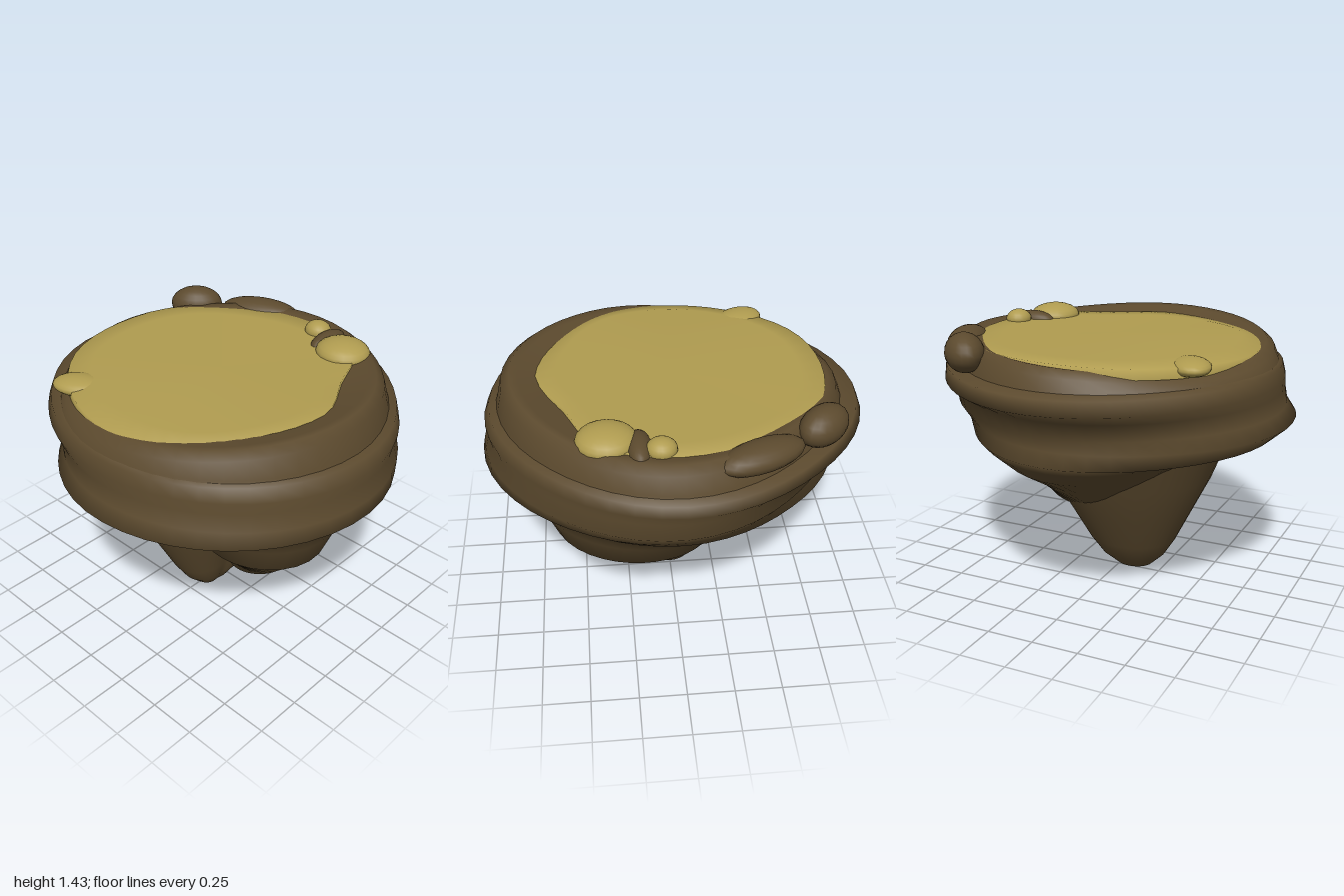
import * as THREE from 'three';

const rock = new THREE.MeshStandardMaterial({ color: 0x5c4a2e });
rock.name = 'brown rock';
const sand = new THREE.MeshStandardMaterial({ color: 0xb09c50 });
sand.name = 'dry sand';

const SEG = 48;

// Smooth closed interpolation of values spaced evenly round the circle, starting at +x and turning towards +z
function around(v, t) {
  if (typeof v === 'number') return v;
  const n = v.length, f = t * n, i = Math.floor(f), u = f - i;
  const [a, b, c, d] = [-1, 0, 1, 2].map((k) => v[(i + k + n) % n]);
  return b + 0.5 * u * (c - a + u * (2 * a - 5 * b + 4 * c - d + u * (3 * (b - c) + d - a)));
}

const scaled = (v, s) => v.map((n) => n * s);
const raised = (v, h) => v.map((n) => n + h);

// Skin over rings ordered from the top centre outwards and down: [height, radius, centreX];
// wobble multiplies every radius to make the outline uneven
function loft(name, material, rings, wobble = 1) {
  const pos = [], index = [];
  rings.forEach(([y, r, cx = 0], i) => {
    for (let j = 0; j < SEG; j++) {
      const t = j / SEG, a = t * Math.PI * 2, rad = around(r, t) * around(wobble, t);
      pos.push(cx + Math.cos(a) * rad, around(y, t), Math.sin(a) * rad);
      if (i === 0) continue;
      const k = (j + 1) % SEG, up = (i - 1) * SEG, dn = i * SEG;
      index.push(up + j, up + k, dn + j, up + k, dn + k, dn + j);
    }
  });
  const g = new THREE.BufferGeometry();
  g.setAttribute('position', new THREE.Float32BufferAttribute(pos, 3));
  g.setIndex(index);
  g.computeVertexNormals();
  const m = new THREE.Mesh(g, material);
  m.name = name;
  return m;
}

function lump(name, material, [x, y, z], [sx, sy, sz], turn = 0) {
  const m = new THREE.Mesh(new THREE.SphereGeometry(1, 20, 12), material);
  m.name = name;
  m.position.set(x, y, z);
  m.scale.set(sx, sy, sz);
  m.rotation.y = turn;
  return m;
}

export function createModel() {
  const island = new THREE.Group();
  island.name = 'floatingIsland';
  const wobble = [1, 1, 1, .965, 1, .955, 1, .97];

  // Main rock: upper band, groove, front overhang, tapering underside (radii run +x, +z, -x, -z)
  island.add(loft('rockBody', rock, [
    [1.235, 0.85],
    [1.22, [.94, .87, .97, .94]],
    [1.15, [.97, .885, 1, .94]],
    [1.09, [.96, .88, .89, .91]],
    [1, [.985, .89, .86, .915]],
    [.93, [1, .94, .84, .86]],
    [.86, [.92, .86, .88, .8]],
    [.81, [.86, .62, .82, .74]],
    [.72, [.785, .45, .71, .63]],
    [.6, [.73, .32, .5, .53]],
    [.43, [.66, .18, .25, .42]],
    [.28, .18, .3],
    [.245, 0, .3],
  ], wobble));

  // Deep root reaching to the ground, one cross-section shrinking downwards
  const root = [.27, .53, .53, .6];
  const spike = loft('rootSpike', rock, [
    [.9, scaled(root, 1.05)],
    [.6, scaled(root, .82)],
    [.4, scaled(root, .63)],
    [.2, scaled(root, .44)],
    [.1, scaled(root, .32)],
    [.03, scaled(root, .18)],
    [0, 0],
  ]);
  spike.position.set(.03, 0, .1);
  island.add(spike);

  // Uneven rim around the top
  const crest = [1.385, 1.345, 1.29, 1.335, 1.365, 1.36];
  const rim = [.895, .845, .88, .885];
  island.add(loft('rim', rock, [
    [1.325, .6],
    [raised(crest, -.008), scaled(rim, .87)],
    [crest, scaled(rim, .92)],
    [raised(crest, -.035), scaled(rim, .97)],
    [1.24, rim],
    [1.2, scaled(rim, 1.02)],
  ], wobble));

  // Sand filling the top, slumping a little over the front edge
  const edge = [.69, .71, .77, .77, .775, .8, .79, .79, .745, .74, .74, .63];
  const edgeY = [1.352, 1.315, 1.345, 1.355];
  island.add(loft('sandTop', sand, [
    [1.352, 0],
    [1.352, scaled(edge, .85)],
    [edgeY, edge],
    [raised(edgeY, -.05), raised(edge, .005)],
  ]));

  // Boulders on the rim and small mounds of sand
  island.add(
    lump('rimBoulder', rock, [-.69, 1.33, -.52], [.15, .1, .1], .7),
    lump('rimBoulder', rock, [-.36, 1.32, -.72], [.23, .07, .1], .4),
    lump('rimBoulder', rock, [.2, 1.34, -.64], [.06, .055, .13]),
    lump('sandMound', sand, [.1, 1.36, -.68], [.075, .055, .07]),
    lump('sandMound', sand, [.35, 1.35, -.58], [.15, .072, .14]),
    lump('sandMound', sand, [-.44, 1.315, .58], [.14, .045, .1], .5),
  );
  return island;
}
